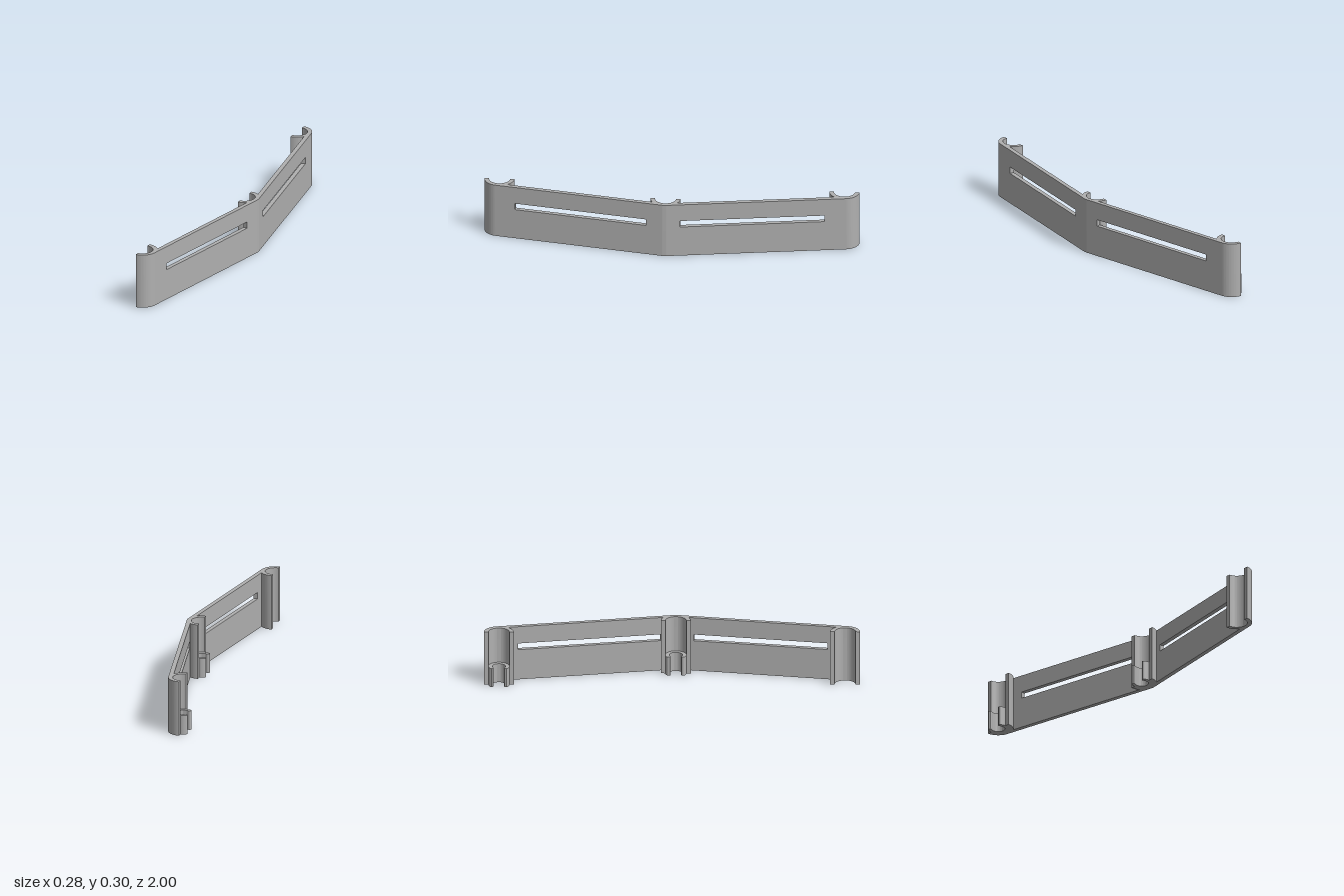
import * as THREE from 'three';
import { toCreasedNormals } from 'three/addons/utils/BufferGeometryUtils.js';

const HEIGHT = 0.302, R_OUT = 0.08, R_IN = 0.056, R_BORE = 0.035;
const WALL = R_OUT - R_IN;

export function createModel() {
  const model = new THREE.Group();
  model.name = 'angledClipBracket';
  const grey = new THREE.MeshStandardMaterial({ color: 0xb0b0b0 });
  grey.name = 'plain grey';

  const add = (name, geometry) => {
    const mesh = new THREE.Mesh(toCreasedNormals(geometry, 0.5), grey);
    mesh.name = name;
    model.add(mesh);
    return mesh;
  };

  // Upright C section, open towards -x; angle is half of the arc it covers
  const cSection = (name, x, z, outer, inner, angle, height, roundEnds) => {
    const shape = new THREE.Shape();
    const mid = (outer + inner) / 2, cap = (outer - inner) / 2;
    const cx = mid * Math.cos(angle), cy = mid * Math.sin(angle);
    shape.absarc(0, 0, outer, -angle, angle, false);
    if (roundEnds) shape.absarc(cx, cy, cap, angle, angle + Math.PI, false);
    shape.absarc(0, 0, inner, angle, -angle, true);
    if (roundEnds) shape.absarc(cx, -cy, cap, Math.PI - angle, 2 * Math.PI - angle, false);
    const geometry = new THREE.ExtrudeGeometry(shape, { depth: height, bevelEnabled: false, curveSegments: 28 });
    geometry.rotateX(-Math.PI / 2);
    add(name, geometry).position.set(x, 0, z);
  };

  // Clip centres as (x, z)
  const front = new THREE.Vector2(-0.095, 0.92);
  const middle = new THREE.Vector2(0.058, 0.02);
  const back = new THREE.Vector2(-0.106, -0.92);

  // Tall half-round clips
  [['frontClip', front], ['middleClip', middle], ['backClip', back]].forEach(([name, c]) =>
    cSection(name, c.x, c.y, R_OUT, R_IN, Math.PI / 2, HEIGHT, false));

  // Short snap rings at the foot of two clips
  [['middleSnapRing', middle], ['backSnapRing', back]].forEach(([name, c]) =>
    cSection(name, c.x, c.y, R_IN, R_BORE, 2.11, 0.106, true));

  // Slotted panel, tangent to the outside of two clips
  const panel = (name, from, to, slotStart, slotEnd) => {
    const dir = to.clone().sub(from);
    const length = dir.length();
    dir.normalize();
    const normal = new THREE.Vector2(-dir.y, dir.x);
    const along = z => (z - from.y - normal.y * R_OUT) / dir.y;
    const shape = new THREE.Shape([[0, 0], [length, 0], [length, HEIGHT], [0, HEIGHT]]
      .map(p => new THREE.Vector2(...p)));
    const a = along(slotStart), b = along(slotEnd);
    shape.holes.push(new THREE.Path([[a, 0.17], [a, 0.206], [b, 0.206], [b, 0.17]]
      .map(p => new THREE.Vector2(...p))));
    const mesh = add(name, new THREE.ExtrudeGeometry(shape, { depth: WALL, bevelEnabled: false }));
    mesh.rotation.y = Math.atan2(-dir.y, dir.x);
    mesh.position.set(from.x + normal.x * R_IN, 0, from.y + normal.y * R_IN);
  };
  panel('frontPanel', front, middle, 0.83, 0.12);
  panel('backPanel', middle, back, -0.064, -0.823);

  return model;
}
